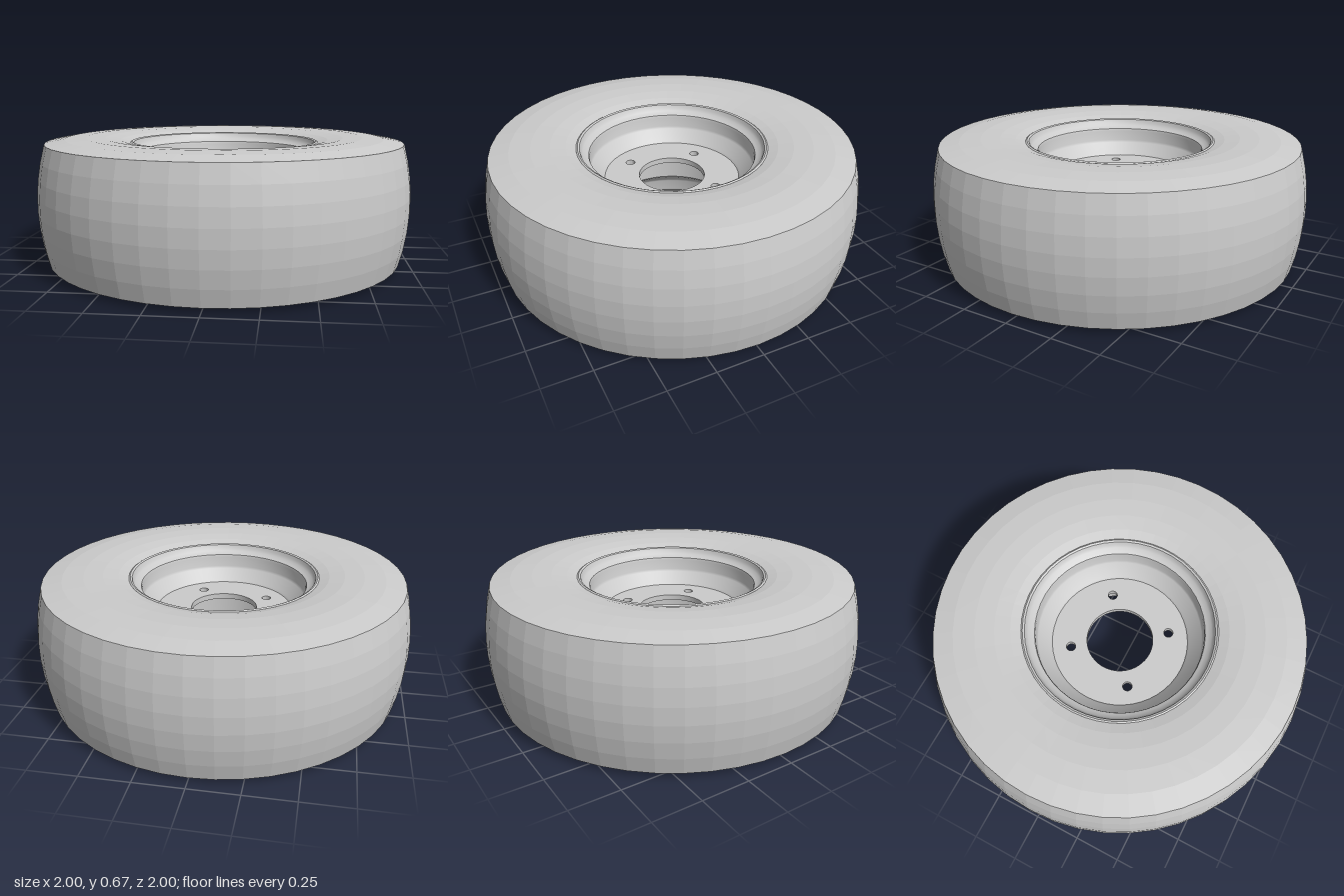
import * as THREE from 'three';
import { toCreasedNormals } from 'three/addons/utils/BufferGeometryUtils.js';

const HEIGHT = 0.67;
const SEGMENTS = 48;

// Adds the upside-down copy of a half profile, so both sides of the wheel match
const mirrored = (half) => [...half, ...half.slice().reverse().map(([r, y]) => [r, HEIGHT - y])];

const lathe = (points) =>
  new THREE.LatheGeometry(points.map(([r, y]) => new THREE.Vector2(r, y)), SEGMENTS);

function addMesh(group, name, geometry, options = {}) {
  const material = new THREE.MeshStandardMaterial({ color: 0xcccccc, ...options });
  const mesh = new THREE.Mesh(geometry, material);
  mesh.name = name;
  group.add(mesh);
}

export function createModel() {
  const wheel = new THREE.Group();
  wheel.name = 'wheel';

  // Tyre: lower sidewall, crowned tread, upper sidewall
  const sidewall = [
    [0.46, 0.57], [0.505, 0.64], [0.56, 0.655], [0.64, 0.666],
    [0.74, 0.67], [0.85, 0.664], [0.955, 0.645],
  ];
  const lower = sidewall.map(([r, y]) => [r, HEIGHT - y]);
  const tread = [];
  for (let i = 1; i < 7; i++) {
    const t = (i / 7) * 2 - 1;
    tread.push([1 - 0.045 * t * t, HEIGHT / 2 + 0.31 * t]);
  }
  const tyre = lathe([...lower, ...tread, ...sidewall.slice().reverse()]);
  addMesh(wheel, 'tyre', tyre, { flatShading: true });

  // Rim: rolled lip, bead seat and narrower drop centre
  const rim = lathe(mirrored([
    [0.5, 0.6], [0.51, 0.63], [0.508, 0.641], [0.5, 0.646], [0.49, 0.641],
    [0.484, 0.625], [0.474, 0.609], [0.455, 0.6], [0.444, 0.594], [0.44, 0.58],
    [0.44, 0.525], [0.434, 0.512], [0.374, 0.462], [0.365, 0.45],
  ]));
  addMesh(wheel, 'rim', toCreasedNormals(rim, 0.6), { side: THREE.DoubleSide });

  // Hub plate with centre bore and four bolt holes
  const plate = new THREE.Shape().absarc(0, 0, 0.366, 0, Math.PI * 2);
  const addHole = (x, y, r) =>
    plate.holes.push(new THREE.Path().absarc(x, y, r, 0, Math.PI * 2, true));
  addHole(0, 0, 0.178);
  for (let i = 0; i < 4; i++) {
    const a = 0.625 + (i * Math.PI) / 2;
    addHole(0.266 * Math.cos(a), 0.266 * Math.sin(a), 0.025);
  }
  const plateGeometry = new THREE.ExtrudeGeometry(plate, {
    depth: 0.03, bevelEnabled: false, curveSegments: SEGMENTS / 2,
  });
  plateGeometry.rotateX(-Math.PI / 2).translate(0, 0.42, 0);
  addMesh(wheel, 'hubPlate', toCreasedNormals(plateGeometry, 0.6));

  // Flange joining the plate to the rim underneath
  const flange = lathe([[0.357, 0.425], [0.357, 0.35], [0.366, 0.35]]);
  addMesh(wheel, 'plateFlange', toCreasedNormals(flange, 0.6), { side: THREE.DoubleSide });

  return wheel;
}
